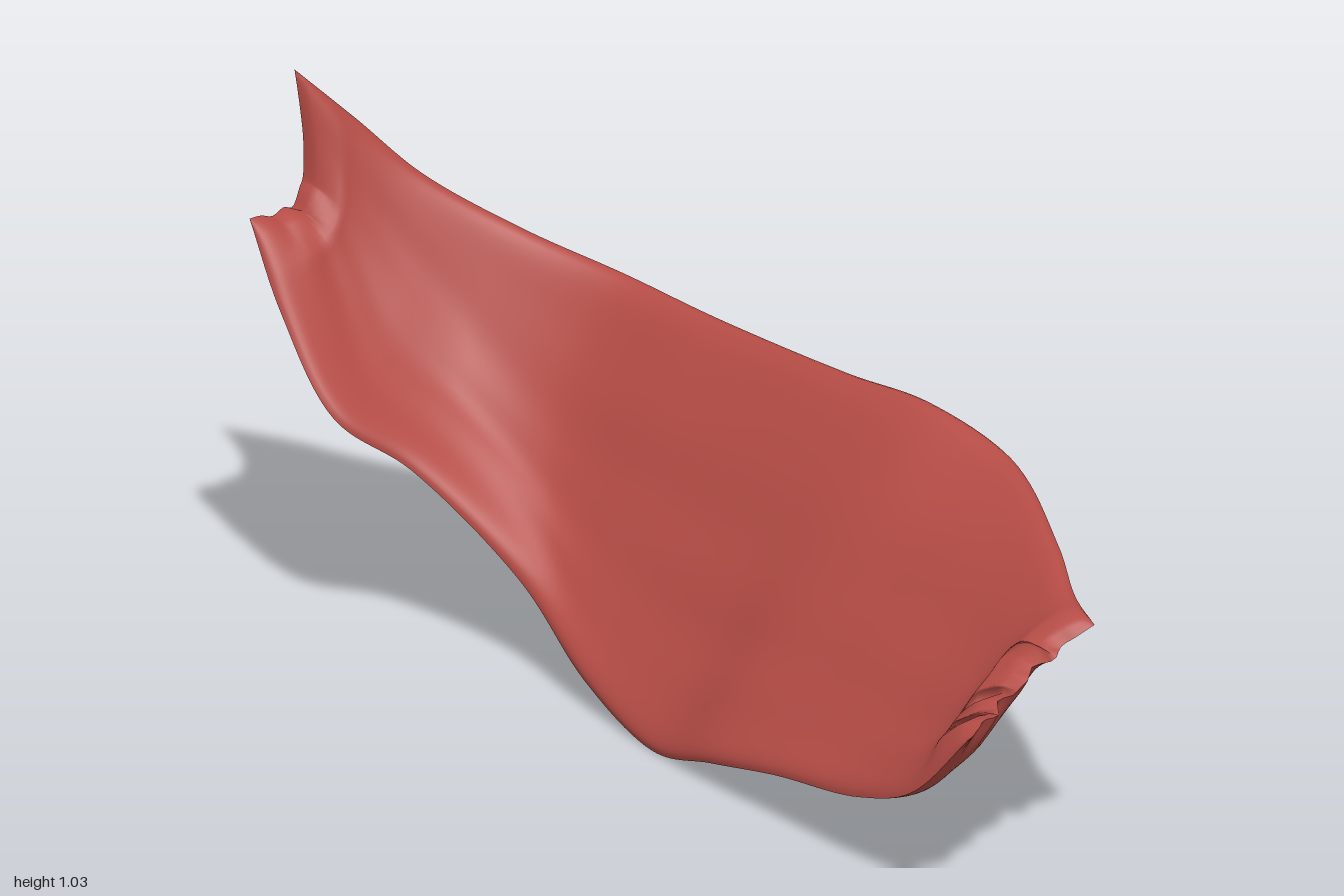
import * as THREE from 'three';

// Sections from tail tip to front end: lower edge, two belly points, upper edge
const SECTIONS = [
  [-.355, .78, -.965, -.27, .775, -.975, -.222, .83, -.985, -.23, 1.03, -1],
  [-.36, .63, -.86, -.24, .66, -.93, -.155, .75, -.955, -.125, .925, -.955],
  [-.335, .46, -.73, -.2, .51, -.84, -.08, .63, -.88, -.03, .82, -.88],
  [-.22, .36, -.65, -.08, .39, -.73, .02, .52, -.77, .1, .725, -.75],
  [-.125, .19, -.45, 0, .27, -.53, .1, .43, -.58, .2, .67, -.58],
  [-.125, .06, -.25, .02, .2, -.3, .13, .4, -.33, .245, .645, -.35],
  [-.14, 0, -.02, .02, .15, 0, .15, .37, 0, .285, .64, 0],
  [-.165, .05, .2, 0, .17, .2, .15, .37, .2, .32, .64, .2],
  [-.18, .1, .42, -.01, .19, .42, .15, .37, .42, .345, .595, .42],
  [-.195, .15, .7, -.05, .21, .7, .11, .36, .7, .25, .535, .7],
  [-.2, .22, .88, -.08, .26, .88, .06, .37, .86, .18, .5, .85],
  [-.165, .35, 1, -.06, .365, .94, .04, .42, .93, .15, .485, .95],
];
const ALONG = 110, ACROSS = 40, THICKNESS = 0.065;

const rails = [0, 3, 6, 9].map((k) => new THREE.CatmullRomCurve3(
  SECTIONS.map((s) => new THREE.Vector3(s[k], s[k + 1], s[k + 2]))));

// Point on the outer skin; u runs tail to front, v lower to upper edge
function skin(u, v) {
  const a = 3 * v, b = a - 1, c = a - 2, d = a - 3;
  const weights = [-b * c * d / 6, a * c * d / 2, -a * b * d / 2, a * b * c / 6];
  const p = new THREE.Vector3();
  rails.forEach((r, k) => p.addScaledVector(r.getPoint(u), weights[k]));
  // Ragged torn ends
  const inner = Math.sin(Math.PI * v);
  const front = THREE.MathUtils.smoothstep(u, 0.92, 1);
  const tail = 1 - THREE.MathUtils.smoothstep(u, 0, 0.07);
  p.z += front * inner * (0.012 * Math.sin(v * 27) + 0.007 * Math.sin(v * 43 + 1));
  p.y += tail * inner * 0.007 * Math.sin(v * 25);
  return p;
}

// Outward direction of the skin
function normalAt(u, v) {
  const e = 0.004;
  const u0 = Math.max(0, u - e), u1 = Math.min(1, u + e);
  const v0 = Math.max(0, v - e), v1 = Math.min(1, v + e);
  const du = skin(u1, v).sub(skin(u0, v)), dv = skin(u, v1).sub(skin(u, v0));
  return dv.cross(du).normalize();
}

// Closed strip: outer skin going up, inner skin coming back down
function stripGeometry() {
  const pos = [], index = [], ring = 2 * ACROSS;
  for (let i = 0; i <= ALONG; i++) {
    const u = i / ALONG;
    const endTaper = Math.sqrt(Math.min(1, u / 0.06, (1 - u) / 0.05));
    for (let j = 0; j < ring; j++) {
      const isInner = j > ACROSS;
      // Points gather towards the rounded rims
      const v = 0.5 - 0.5 * Math.cos(Math.PI * (isInner ? ring - j : j) / ACROSS);
      const edge = Math.pow(Math.max(0, Math.sin(Math.PI * v)), 0.4);
      const p = skin(u, v), n = normalAt(u, v);
      // Soft fibres running lengthwise
      const fibre = 0.0025 * edge * endTaper
        * Math.sin(v * 20 + 3 * Math.sin(u * 5)) * Math.sin(u * 11 + v * 4);
      p.addScaledVector(n, fibre - (isInner ? THICKNESS * edge * endTaper : 0));
      pos.push(p.x, p.y, p.z);
      if (i < ALONG) {
        const a = i * ring + j, b = i * ring + (j + 1) % ring;
        index.push(a, b, a + ring, b, b + ring, a + ring);
      }
    }
  }
  const g = new THREE.BufferGeometry();
  g.setAttribute('position', new THREE.Float32BufferAttribute(pos, 3));
  g.setIndex(index);
  // Centre it and stand it on the ground
  g.computeBoundingBox();
  const c = g.boundingBox.getCenter(new THREE.Vector3());
  g.translate(-c.x, -g.boundingBox.min.y, -c.z);
  g.computeVertexNormals();
  return g;
}

export function createModel() {
  const group = new THREE.Group();
  group.name = 'curvedStrip';
  const flesh = new THREE.MeshStandardMaterial({ color: 0xb44b45 });
  flesh.name = 'flesh red';
  const strip = new THREE.Mesh(stripGeometry(), flesh);
  strip.name = 'fleshStrip';
  group.add(strip);
  return group;
}
